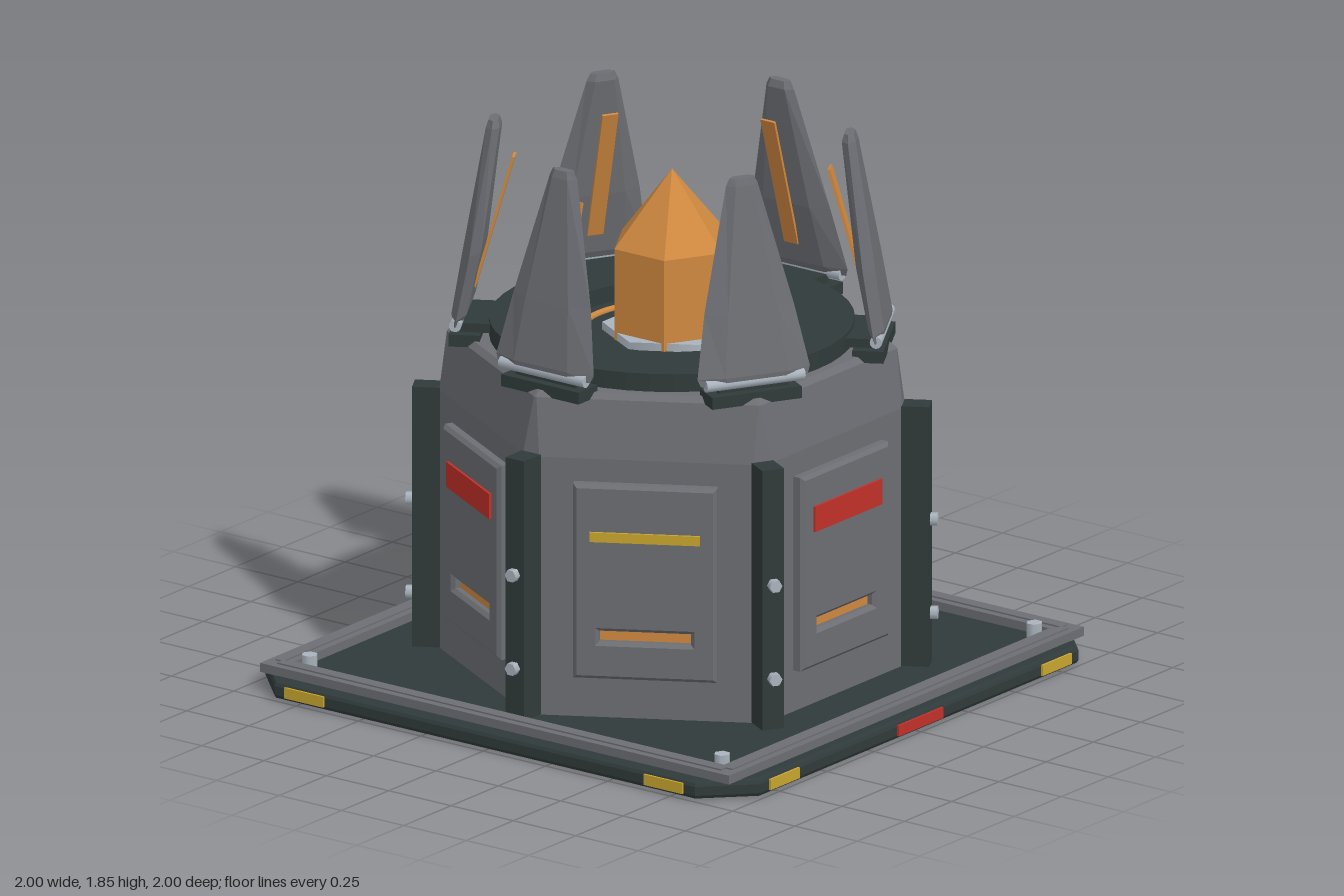
import * as THREE from 'three';

const mat = (name, color) => {
  const m = new THREE.MeshStandardMaterial({ color });
  m.name = name;
  return m;
};

export function createModel() {
  const root = new THREE.Group();
  root.name = 'reactorPod';
  const grey = mat('grey metal', 0x6c6e73);
  const dark = mat('dark metal', 0x303a3a);
  const orange = mat('orange glow', 0xcf8840);
  const red = mat('red paint', 0xc2302a);
  const yellow = mat('yellow paint', 0xc8a52e);
  const silver = mat('silver', 0xaab3bd);

  const add = (parent, name, geo, material, x = 0, y = 0, z = 0) => {
    const m = new THREE.Mesh(geo, material);
    m.name = name;
    m.position.set(x, y, z);
    parent.add(m);
    return m;
  };
  const box = (parent, name, material, w, h, d, x, y, z) =>
    add(parent, name, new THREE.BoxGeometry(w, h, d), material, x, y, z);
  // group whose +x points outward at an angle measured from +x to +z
  const spoke = (name, degrees) => {
    const g = new THREE.Group();
    g.name = name;
    g.rotation.y = -THREE.MathUtils.degToRad(degrees);
    root.add(g);
    return g;
  };
  // flat shaded skin through rings of points, rings going upward
  const loft = (rings, capBottom = true) => {
    const out = [];
    const tri = (...pts) => pts.forEach(p => out.push(...p));
    const n = rings[0].length;
    for (let i = 0; i < rings.length - 1; i++) {
      for (let j = 0; j < n; j++) {
        const k = (j + 1) % n;
        const [a, b, c, d] = [rings[i][j], rings[i][k], rings[i + 1][k], rings[i + 1][j]];
        tri(a, d, c);
        tri(a, c, b);
      }
    }
    const top = rings[rings.length - 1];
    for (let j = 1; j < n - 1; j++) {
      tri(top[0], top[j + 1], top[j]);
      if (capBottom) tri(rings[0][0], rings[0][j], rings[0][j + 1]);
    }
    const g = new THREE.BufferGeometry();
    g.setAttribute('position', new THREE.Float32BufferAttribute(out, 3));
    g.computeVertexNormals();
    return g;
  };
  const rect = (Type, x0, y0, x1, y1) => {
    const s = new Type();
    s.moveTo(x0, y0); s.lineTo(x1, y0); s.lineTo(x1, y1); s.lineTo(x0, y1);
    s.closePath();
    return s;
  };
  const slotted = (hw, y0, y1) => {
    const s = rect(THREE.Shape, -hw, y0, hw, y1);
    s.holes.push(rect(THREE.Path, -0.16, 0.313, 0.16, 0.373));
    return s;
  };

  // base plate with cut corners
  const H = 0.972, C = 0.835;
  const plate = new THREE.Shape([[C, -H], [H, -C], [H, C], [C, H], [-C, H], [-H, C], [-H, -C], [-C, -H]]
    .map(p => new THREE.Vector2(...p)));
  const plateGeo = new THREE.ExtrudeGeometry(plate,
    { depth: 0.03, bevelThickness: 0.015, bevelSize: 0.02, bevelSegments: 2 });
  plateGeo.rotateX(-Math.PI / 2);
  add(root, 'basePlate', plateGeo, dark, 0, 0.016, 0);
  for (const s of [-1, 1]) {
    box(root, 'frameBarAcross', grey, 1.88, 0.03, 0.08, 0, 0.075, s * 0.9);
    box(root, 'frameBarAlong', grey, 0.08, 0.03, 1.72, s * 0.9, 0.075, 0);
    box(root, 'frameLipAcross', grey, 1.78, 0.016, 0.03, 0, 0.087, s * 0.9);
    box(root, 'frameLipAlong', grey, 0.03, 0.016, 1.78, s * 0.9, 0.087, 0);
    for (const t of [-1, 1]) {
      add(root, 'baseBolt', new THREE.CylinderGeometry(0.027, 0.027, 0.055, 6), silver, s * 0.827, 0.085, t * 0.827);
      add(root, 'footDisc', new THREE.CylinderGeometry(0.045, 0.045, 0.006, 20), dark, s * 0.6, 0.003, t * 0.6);
    }
  }
  // painted edge markers
  for (let k = 0; k < 4; k++) {
    const g = spoke('edgeMarkers', k * 90);
    for (const s of [-1, 1]) box(g, 'yellowMarker', yellow, 0.008, 0.036, 0.155, 0.996, 0.033, s * 0.72);
    if (k === 1) box(g, 'redMarker', red, 0.008, 0.036, 0.235, 0.996, 0.033, 0);
  }
  // underside rings
  const under = add(root, 'undersideRing', new THREE.RingGeometry(0.26, 0.36, 48), orange, 0, -0.0, 0);
  under.rotation.x = Math.PI / 2;
  add(root, 'undersideHub', new THREE.CylinderGeometry(0.13, 0.13, 0.006, 32), silver, 0, 0.002, 0);

  // hollow hexagonal body: six slotted walls and panels
  for (let k = 0; k < 6; k++) {
    const g = spoke('bodySide', 30 + k * 60);
    const wall = add(g, 'wall', new THREE.ShapeGeometry(slotted(0.345, 0.055, 0.93)), grey, 0.662, 0, 0);
    wall.rotation.y = Math.PI / 2;
    const panel = add(g, 'wallPanel', new THREE.ExtrudeGeometry(slotted(0.22, 0.212, 0.842),
      { depth: 0.025, bevelThickness: 0.012, bevelSize: 0.012, bevelSegments: 1 }), grey, 0.664, 0, 0);
    panel.rotation.y = Math.PI / 2;
    box(g, 'ventBar', orange, 0.02, 0.037, 0.3, 0.662, 0.343, 0);
    if (k % 2) box(g, 'redStripe', red, 0.009, 0.085, 0.355, 0.705, 0.703, 0);
    else box(g, 'yellowStripe', yellow, 0.009, 0.032, 0.355, 0.705, 0.681, 0);
  }
  // tapered shoulder closing to a sharp hexagon
  const ring12 = (y, r, w) => {
    const pts = [];
    for (let k = 0; k < 6; k++) {
      const a = Math.PI / 6 + k * Math.PI / 3, c = Math.cos(a), s = Math.sin(a);
      for (const t of [-w, w]) pts.push([r * c - t * s, y, r * s + t * c]);
    }
    return pts;
  };
  add(root, 'shoulder', loft([
    ring12(0.93, 0.662, 0.345),
    ring12(1.12, 0.63, 0.358),
    ring12(1.138, 0.612, 0.352),
  ], false), grey);

  // top collar, recessed floor, core socket and crystal
  const collar = [[0.36, 1.13], [0.585, 1.13], [0.585, 1.198], [0.36, 1.198], [0.36, 1.13]]
    .map(p => new THREE.Vector2(...p));
  const flatCollar = new THREE.LatheGeometry(collar, 48).toNonIndexed();
  flatCollar.computeVertexNormals();
  add(root, 'topCollar', flatCollar, dark);
  add(root, 'wellFloor', new THREE.CylinderGeometry(0.365, 0.365, 0.012, 48), dark, 0, 1.138, 0);
  const glow = add(root, 'glowRing', new THREE.TorusGeometry(0.295, 0.012, 8, 48), orange, 0, 1.147, 0);
  glow.rotation.x = Math.PI / 2;
  const socket = add(root, 'coreSocket', new THREE.CylinderGeometry(0.225, 0.225, 0.03, 6), silver, 0, 1.155, 0);
  socket.rotation.y = Math.PI / 6;
  const hexRing = (r, y) => Array.from({ length: 6 }, (_, j) => {
    const a = Math.PI / 6 + j * Math.PI / 3;
    return [r * Math.cos(a), y, r * Math.sin(a)];
  });
  add(root, 'coreCrystal', loft([hexRing(0.2, 1.14), hexRing(0.2, 1.45), hexRing(0.001, 1.695)]), orange);

  // corner pillars, hinges and petals
  const petalRing = (y, r, w, t) => [
    [r, y, -w * 0.55], [r, y, w * 0.55], [r - t * 0.5, y, w],
    [r - t, y, w * 0.6], [r - t, y, -w * 0.6], [r - t * 0.5, y, -w],
  ];
  const petalGeo = loft([
    petalRing(1.19, 0.695, 0.185, 0.035),
    petalRing(1.215, 0.697, 0.195, 0.05),
    petalRing(1.42, 0.664, 0.155, 0.06),
    petalRing(1.82, 0.596, 0.055, 0.045),
    petalRing(1.845, 0.588, 0.042, 0.03),
  ]);
  for (let k = 0; k < 6; k++) {
    const g = spoke('corner', k * 60);
    const edge = add(g, 'cornerFacet', new THREE.PlaneGeometry(0.066, 0.875), grey, 0.744, 0.4925, 0);
    edge.rotation.y = Math.PI / 2;
    box(g, 'pillar', dark, 0.09, 0.875, 0.075, 0.788, 0.5, 0);
    for (const y of [0.235, 0.55]) {
      const bolt = add(g, 'pillarBolt', new THREE.CylinderGeometry(0.022, 0.022, 0.03, 6), silver, 0.842, y, 0);
      bolt.rotation.z = Math.PI / 2;
    }
    box(g, 'hingeBracket', dark, 0.1, 0.04, 0.31, 0.65, 1.138, 0);
    box(g, 'hingeBlock', dark, 0.1, 0.03, 0.24, 0.62, 1.172, 0);
    const pin = add(g, 'hingePin', new THREE.CylinderGeometry(0.02, 0.02, 0.34, 12), silver, 0.678, 1.192, 0);
    pin.rotation.x = Math.PI / 2;
    add(g, 'petal', petalGeo, grey);
    const strip = box(g, 'petalStrip', orange, 0.009, 0.46, 0.055, 0.571, 1.5, 0);
    strip.rotation.z = 0.276;
  }
  return root;
}
